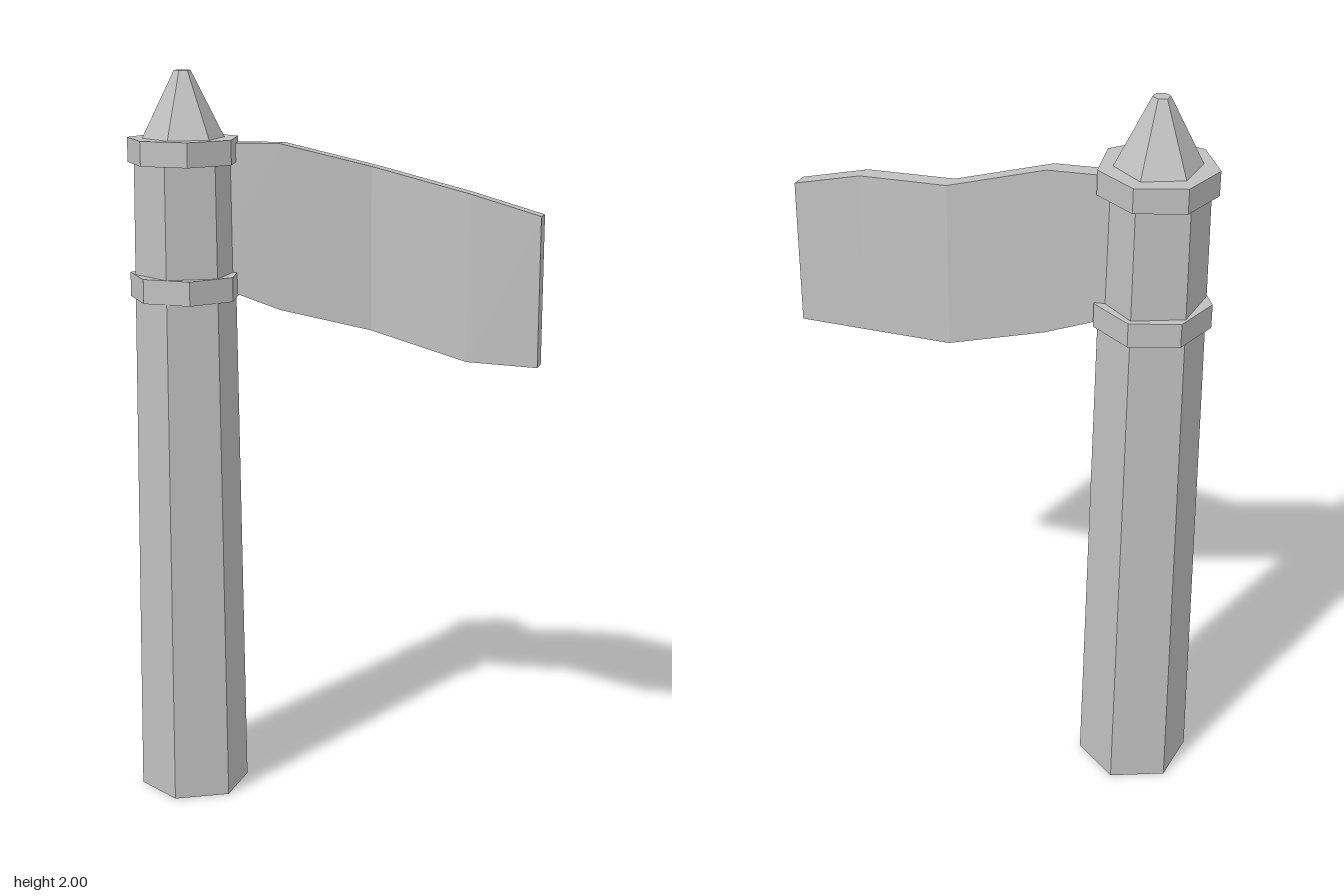
import * as THREE from 'three';

export function createModel() {
  const group = new THREE.Group();
  const grey = new THREE.MeshStandardMaterial({ color: 0xc0c0c0, flatShading: true });
  grey.name = 'grey';

  const add = (name, geometry) => {
    const mesh = new THREE.Mesh(geometry, grey);
    mesh.name = name;
    group.add(mesh);
    return mesh;
  };

  // Parts standing on the pole's axis
  const post = (name, rTop, rBottom, y0, y1, sides, turn = 0) => {
    const mesh = add(name, new THREE.CylinderGeometry(rTop, rBottom, y1 - y0, sides));
    mesh.position.set(-0.4, (y0 + y1) / 2, 0.019);
    mesh.rotation.y = turn;
  };
  post('pole', 0.132, 0.151, 0, 1.8, 6);
  post('spike', 0.022, 0.112, 1.82, 2, 6);
  post('upperRing', 0.151, 0.151, 1.76, 1.825, 7, Math.PI);
  post('lowerRing', 0.151, 0.151, 1.4, 1.465, 7, Math.PI);

  // Waving flag: a segmented box bent through stations [x, bottom y, top y, mid z]
  const stations = [
    [-0.36, 1.44, 1.81, -0.028],
    [-0.16, 1.365, 1.81, -0.078],
    [0.075, 1.31, 1.75, -0.15],
    [0.355, 1.252, 1.695, -0.095],
    [0.542, 1.245, 1.642, -0.11],
  ];
  const flag = new THREE.BoxGeometry(1, 1, 1, stations.length - 1, 1, 1);
  const p = flag.attributes.position;
  for (let i = 0; i < p.count; i++) {
    const [x, bottom, top, z] = stations[Math.round((p.getX(i) + 0.5) * (stations.length - 1))];
    p.setXYZ(i, x, p.getY(i) > 0 ? top : bottom, z + p.getZ(i) * 0.044);
  }
  const flatFlag = flag.toNonIndexed();
  flatFlag.computeVertexNormals();
  add('flag', flatFlag);

  return group;
}
